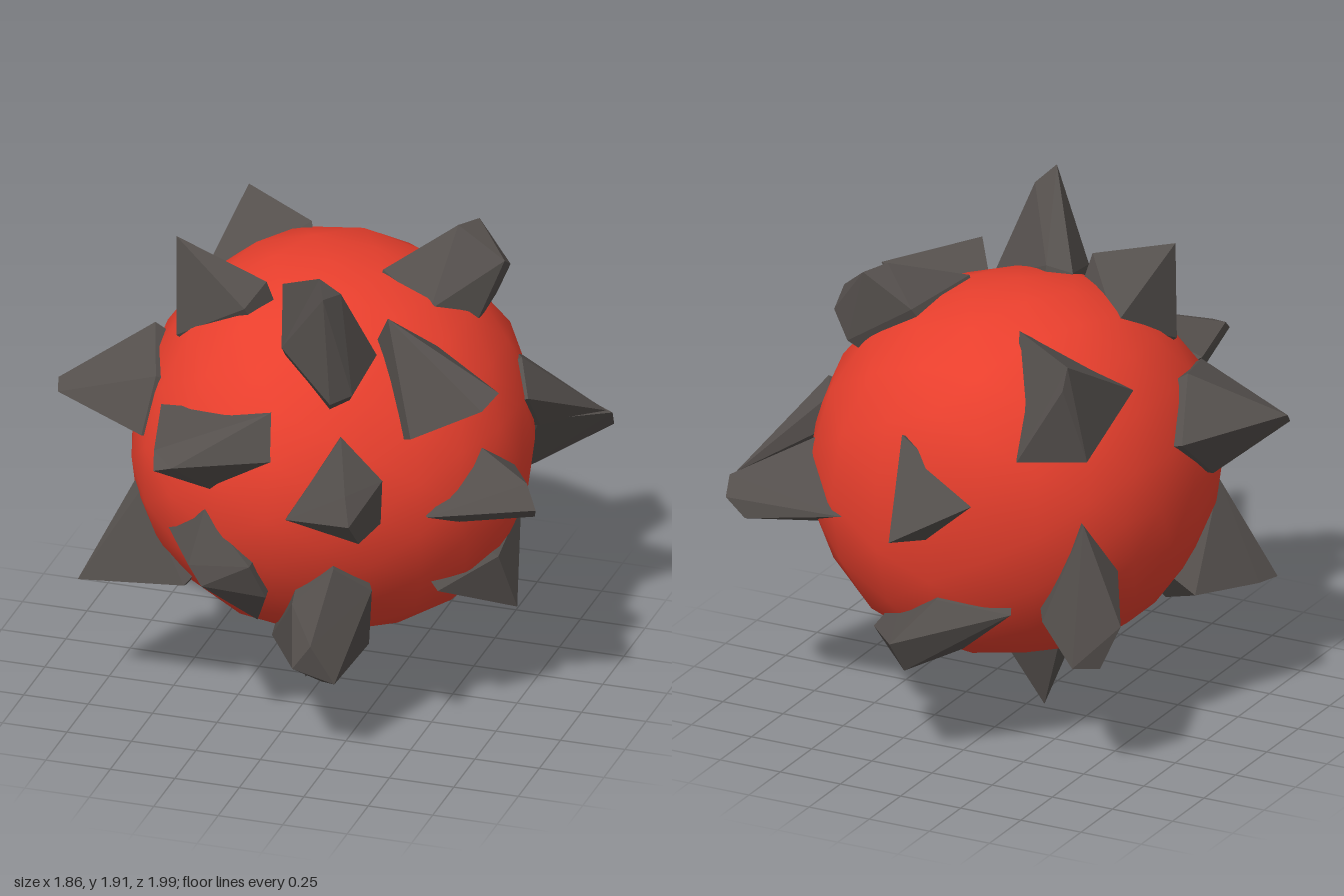
import * as THREE from 'three';
import { mergeVertices } from 'three/addons/utils/BufferGeometryUtils.js';
import { ConvexGeometry } from 'three/addons/geometries/ConvexGeometry.js';

const CENTRE = new THREE.Vector3(0.02, 0.98, 0);
const red = new THREE.MeshStandardMaterial({ color: 0xe83f2d });
const stone = new THREE.MeshStandardMaterial({ color: 0x55504d, flatShading: true });

// Lumpy smooth ball: each bump is a direction and a height
function makeBall() {
  const bumps = [
    [-0.27, 0.67, -0.3, 0.04], [-0.08, 0.42, -0.7, 0.07], [-0.45, 0.1, -0.65, 0.04],
    [0.48, -0.01, -0.7, 0.06], [0.5, 0.42, -0.52, 0.04], [0.2, -0.41, -0.69, 0.06],
    [0, 0, -1, -0.03], [0.66, -0.38, 0, 0.03], [0.4, 0.45, 0.55, -0.05], [0.05, 0, 0.78, 0.035],
    [-0.5, 0, 0.6, 0.03], [0.25, -0.25, 0.65, -0.045], [-0.7, 0, 0, -0.025],
    [0, -1, 0, -0.025], [0, 1, 0, -0.03],
  ].map(([x, y, z, h]) => ({ dir: new THREE.Vector3(x, y, z).normalize(), h }));
  let geo = new THREE.IcosahedronGeometry(1, 3);
  geo.deleteAttribute('normal');
  geo.deleteAttribute('uv');
  geo = mergeVertices(geo);
  const pos = geo.attributes.position;
  const v = new THREE.Vector3();
  for (let i = 0; i < pos.count; i++) {
    v.fromBufferAttribute(pos, i).normalize();
    let r = 0.735;
    for (const b of bumps) r += b.h * Math.exp(-8 * (1 - v.dot(b.dir)));
    v.multiplyScalar(r).add(CENTRE);
    pos.setXYZ(i, v.x, v.y, v.z);
  }
  geo.computeVertexNormals();
  const ball = new THREE.Mesh(geo, red);
  ball.name = 'ball';
  return ball;
}

// Rough stone spike: tip corners, rim corners on the ball, and a root sunk inside it
function makeSpike(name, tips, rim) {
  const toVec = (p) => new THREE.Vector3(...p);
  const outer = rim.map(toVec);
  const root = outer.map((p) => p.clone().lerp(CENTRE, 0.2));
  const mesh = new THREE.Mesh(new ConvexGeometry([...tips.map(toVec), ...outer, ...root]), stone);
  mesh.name = name;
  return mesh;
}

export function createModel() {
  const group = new THREE.Group();
  group.name = 'spikedBall';
  group.add(makeBall());
  const spike = (...args) => group.add(makeSpike(...args));

  // Upper spikes
  spike('topRightSpike', [[-0.49, 1.84, 0.25]],
    [[-0.48, 1.45, 0.28], [-0.37, 1.58, 0], [-0.13, 1.72, 0.28], [-0.2, 1.62, 0.33]]);
  spike('topFrontSpike', [[0.17, 1.91, 0.57], [0.2, 1.85, 0.62], [0.24, 1.84, 0.53]],
    [[-0.1, 1.67, 0.18], [0, 1.57, 0.5], [0.23, 1.43, 0.63], [0.29, 1.44, 0.55], [0.32, 1.52, 0.35], [0, 1.69, 0.16]]);
  spike('topLeftSpike', [[0.43, 1.78, -0.28], [0.48, 1.77, -0.38], [0.61, 1.66, -0.28], [0.6, 1.6, -0.38]],
    [[0.42, 1.57, 0.02], [0.22, 1.68, -0.03], [0.54, 1.44, -0.12], [0.3, 1.64, -0.34], [0.55, 1.48, -0.37]]);
  spike('upperLeftSpike', [[0.81, 1.46, 0.4], [0.78, 1.43, 0.51]],
    [[0.36, 1.67, 0.34], [0.49, 1.49, 0.15], [0.5, 1.27, 0.5], [0.65, 1.28, 0.27]]);
  spike('upperBackSpike', [[-0.49, 1.66, -0.61], [-0.48, 1.57, -0.63]],
    [[-0.55, 1.43, -0.2], [-0.17, 1.66, -0.38], [-0.54, 1.27, -0.55], [-0.31, 1.27, -0.67]]);

  // Middle spikes
  spike('rightSpike', [[-0.93, 1.22, 0.3], [-0.92, 1.18, 0.34]],
    [[-0.62, 1.4, 0.1], [-0.7, 1.2, -0.1], [-0.7, 1, 0.15], [-0.55, 1.12, 0.48], [-0.52, 1.33, 0.4]]);
  spike('frontRightSpike', [[-0.35, 1.22, 0.95], [-0.28, 1.24, 0.95], [-0.37, 1.27, 0.88]],
    [[-0.46, 1.28, 0.52], [0, 1.36, 0.62], [0.04, 1.2, 0.7], [-0.2, 1.05, 0.7], [-0.43, 1.2, 0.57]]);
  spike('frontLeftSpike', [[0.42, 1.12, 0.99], [0.42, 1, 0.87], [0.37, 1.19, 0.88]],
    [[0.27, 1.3, 0.62], [0.1, 1, 0.76], [0.43, 0.98, 0.64], [0.44, 1.16, 0.65]]);
  spike('leftSpike', [[0.92, 0.95, 0.3], [0.87, 1.03, 0.25], [0.9, 0.9, 0.25]],
    [[0.68, 1.14, 0.22], [0.56, 0.95, 0.48], [0.77, 1.02, 0.09], [0.74, 0.86, 0.12], [0.64, 0.89, 0.36]]);
  spike('backLeftSpike', [[0.93, 0.95, -0.58], [0.92, 0.88, -0.63], [0.83, 0.82, -0.65]],
    [[0.74, 1.02, -0.3], [0.62, 0.75, -0.38], [0.4, 0.93, -0.71], [0.6, 1.14, -0.5]]);
  spike('backLeftSpikeFlank', [[0.91, 0.96, -0.57], [0.84, 1.02, -0.5]],
    [[0.68, 1.28, -0.27], [0.74, 1.17, -0.16], [0.74, 1, -0.3], [0.62, 1.25, -0.38]]);
  spike('backSpike', [[0.05, 1, -1]],
    [[-0.18, 1.1, -0.73], [0.16, 1.03, -0.75], [0.13, 1.32, -0.74], [0.02, 0.93, -0.76]]);

  // Lower spikes
  spike('lowerFrontSpike', [[-0.25, 0.8, 0.84], [-0.2, 0.72, 0.84]],
    [[-0.41, 0.82, 0.59], [-0.23, 0.97, 0.71], [-0.05, 0.77, 0.73], [-0.01, 0.62, 0.66], [-0.07, 0.48, 0.57]]);
  spike('lowerFrontLeftSpike', [[0.2, 0.5, 0.77], [0.28, 0.34, 0.73], [0.13, 0.4, 0.77], [0.22, 0.33, 0.7]],
    [[0.25, 0.77, 0.65], [0.37, 0.66, 0.56], [0.1, 0.62, 0.68], [-0.07, 0.34, 0.4], [0.3, 0.35, 0.38]]);
  spike('lowerRightSpike', [[-0.8, 0.49, 0.47], [-0.77, 0.49, 0.38]],
    [[-0.61, 0.88, 0.37], [-0.38, 0.54, 0.5], [-0.65, 0.52, 0.1], [-0.57, 0.87, 0.42], [-0.45, 0.42, 0.25]]);
  spike('lowerLeftSpike', [[0.76, 0.41, 0.03]],
    [[0.57, 0.61, 0.39], [0.69, 0.7, -0.23], [0.64, 0.63, -0.24], [0.71, 0.64, 0.1], [0.54, 0.53, 0.1]]);
  spike('lowerBackSpike', [[0.12, 0.53, -0.86], [0.1, 0.4, -0.78]],
    [[0.31, 0.48, -0.62], [-0.27, 0.64, -0.64], [0, 0.68, -0.72], [0.17, 0.38, -0.55], [-0.05, 0.45, -0.6]]);
  spike('lowerBackRightSpike', [[-0.68, 0.64, -0.55], [-0.53, 0.48, -0.65], [-0.61, 0.47, -0.58]],
    [[-0.53, 1.02, -0.56], [-0.6, 0.8, -0.42], [-0.38, 0.62, -0.6], [-0.45, 0.42, -0.35]]);
  spike('bottomSpike', [[-0.06, 0, 0.03], [0.1, 0.2, 0.05]],
    [[-0.18, 0.34, 0.1], [-0.18, 0.33, -0.07], [0.12, 0.29, 0.05], [0, 0.32, 0.27], [0.05, 0.27, -0.08]]);

  return group;
}
